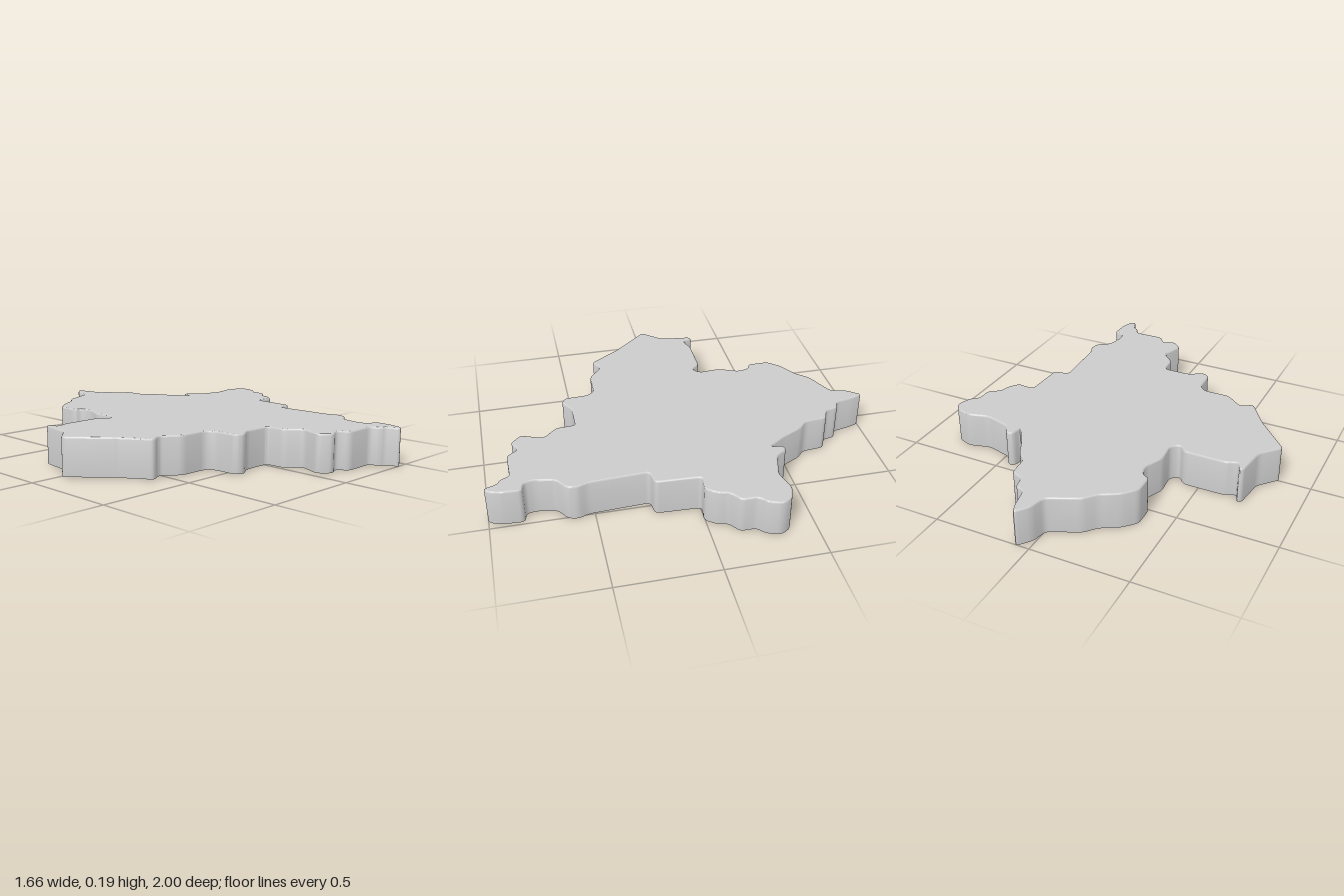
import * as THREE from 'three';
import { toCreasedNormals } from 'three/addons/utils/BufferGeometryUtils.js';

const HEIGHT = 0.19, BEVEL = 0.008, ROUNDING = 0.022;

// Outline corners as x, z: clockwise seen from above, from the back tip
const eastSide = [
  0.068, -1.01, 0.09, -0.95, 0.11, -0.85, 0.16, -0.835, 0.17, -0.77, 0.235, -0.745,
  0.245, -0.63, 0.29, -0.59, 0.34, -0.49, 0.408, -0.39, 0.415, -0.455, 0.45, -0.46,
  0.485, -0.402, 0.62, -0.365, 0.73, -0.395, 0.805, -0.37, 0.835, -0.32, 0.81, -0.25,
  0.77, -0.22, 0.77, -0.14, 0.71, -0.10, 0.70, -0.05, 0.66, 0.005, 0.57, -0.005,
  0.56, 0.22, 0.48, 0.23, 0.495, 0.53, 0.517, 0.58, 0.505, 0.63, 0.44, 0.67,
  0.42, 0.77, 0.43, 0.82, 0.485, 0.83, 0.48, 0.93, 0.46, 0.99, 0.43, 1.005,
];
const westSide = [
  0.41, 0.94, 0.38, 0.925, 0.36, 0.877, 0.20, 0.88, 0.16, 0.822, 0.10, 0.855,
  0.045, 0.80, 0.09, 0.69, 0.02, 0.62, 0.015, 0.52, -0.13, 0.52, -0.20, 0.565,
  -0.24, 0.545, -0.245, 0.42, -0.28, 0.382, -0.42, 0.382, -0.51, 0.31, -0.57, 0.35,
  -0.67, 0.20, -0.84, 0.01, -0.75, -0.09, -0.73, -0.25, -0.71, -0.26, -0.69, -0.205,
  -0.63, -0.232, -0.42, -0.232, -0.38, -0.185, -0.34, -0.22, -0.35, -0.33, -0.305, -0.43,
  -0.32, -0.49, -0.36, -0.505, -0.36, -0.615, -0.30, -0.68, -0.21, -0.73, -0.16, -0.79,
  -0.005, -0.86, 0.012, -0.94,
];

// Round every corner with a short curve, keeping the straight runs straight
function roundedOutline(flat) {
  const corners = [];
  for (let i = 0; i < flat.length; i += 2) corners.push(new THREE.Vector2(flat[i], flat[i + 1]));
  const n = corners.length, out = [];
  corners.forEach((p, i) => {
    const toward = (q) => {
      const d = p.distanceTo(q);
      return p.clone().lerp(q, Math.min(ROUNDING, d * 0.42) / d);
    };
    const curve = new THREE.QuadraticBezierCurve(
      toward(corners[(i + n - 1) % n]), p, toward(corners[(i + 1) % n]));
    out.push(...curve.getPoints(4));
  });
  return out;
}

// Move the outline inward by a distance
function inset(points, distance) {
  const n = points.length;
  return points.map((p, i) => {
    const d = points[(i + 1) % n].clone().sub(points[(i + n - 1) % n]).normalize();
    return new THREE.Vector2(p.x - d.y * distance, p.y + d.x * distance);
  });
}

// Skin a stack of equal rings, from the bottom up
function skin(rings) {
  const n = rings[0].points.length, position = [], index = [];
  rings.forEach(({ points, y }, k) => points.forEach((p, i) => {
    position.push(p.x, y, p.y);
    if (k === 0) return;
    const a = (k - 1) * n + i, b = (k - 1) * n + (i + 1) % n;
    index.push(a, a + n, b, b, a + n, b + n);
  }));
  const geometry = new THREE.BufferGeometry();
  geometry.setAttribute('position', new THREE.Float32BufferAttribute(position, 3));
  geometry.setIndex(index);
  return toCreasedNormals(geometry, 0.7);
}

export function createModel() {
  const group = new THREE.Group();
  group.name = 'regionPlate';
  const material = new THREE.MeshStandardMaterial({ color: 0xcccccc, side: THREE.DoubleSide });
  const outline = roundedOutline([...eastSide, ...westSide]);

  // Upright side wall, open below, with a small rounded top edge
  const rings = [{ points: outline, y: 0 }];
  for (let s = 0; s <= 3; s++) {
    const a = (s / 3) * Math.PI / 2;
    rings.push({
      points: inset(outline, BEVEL * (1 - Math.cos(a))),
      y: HEIGHT - BEVEL * (1 - Math.sin(a)),
    });
  }
  const wall = new THREE.Mesh(skin(rings), material);
  wall.name = 'sideWall';

  // Flat lid closing the top
  const rim = rings[rings.length - 1].points;
  const lidShape = new THREE.Shape(rim.map((p) => new THREE.Vector2(p.x, -p.y)));
  const lid = new THREE.Mesh(new THREE.ShapeGeometry(lidShape).rotateX(-Math.PI / 2), material);
  lid.position.y = HEIGHT;
  lid.name = 'topSurface';

  group.add(wall, lid);
  return group;
}
